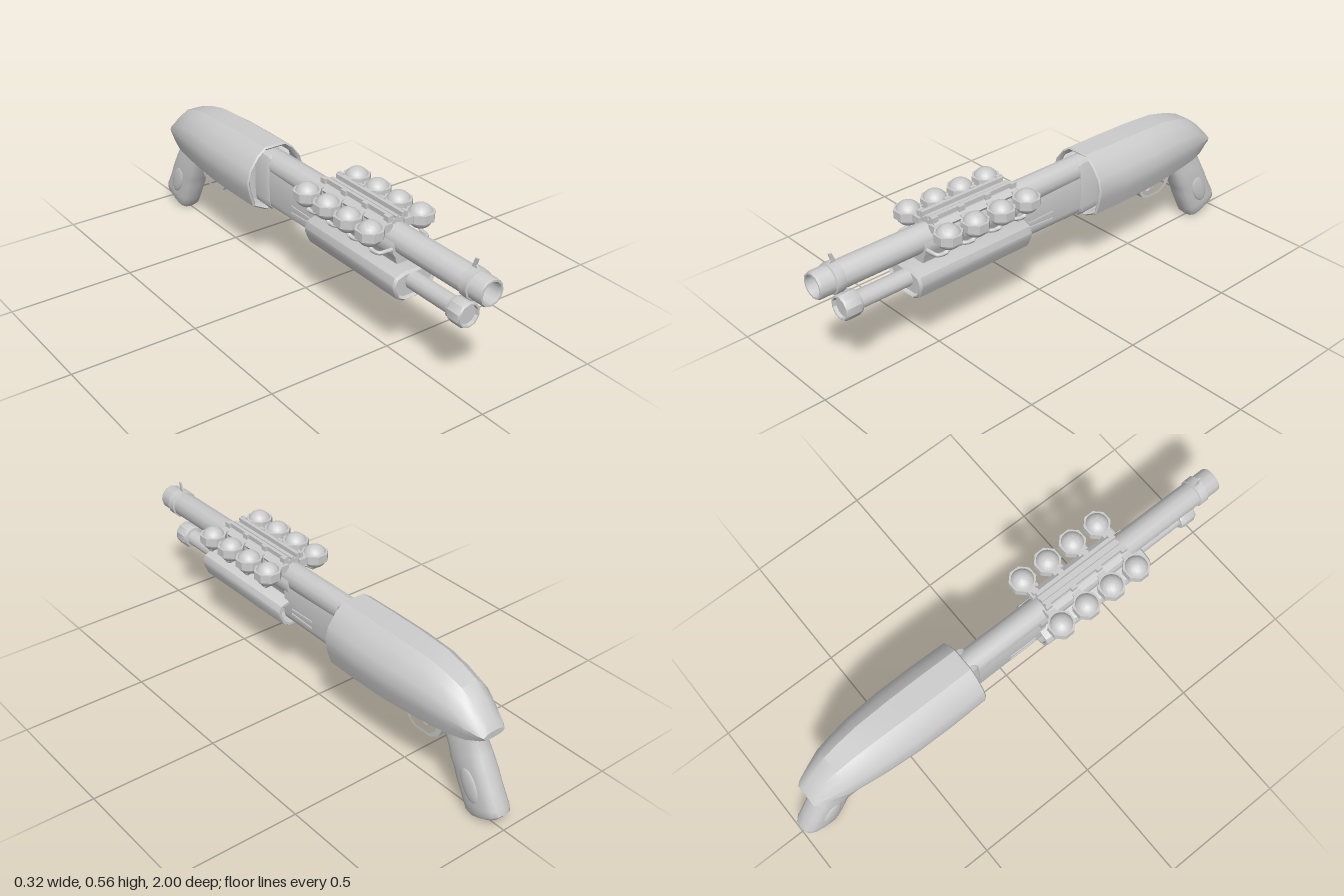
import * as THREE from 'three';
import { toCreasedNormals } from 'three/addons/utils/BufferGeometryUtils.js';

const mat = new THREE.MeshStandardMaterial({ color: 0xcccccc });
const V = (x, y, z) => new THREE.Vector3(x, y, z);

function add(parent, name, geo, crease = 0.6) {
  const mesh = new THREE.Mesh(toCreasedNormals(geo, crease), mat);
  mesh.name = name;
  parent.add(mesh);
  return mesh;
}

// Skin a list of equal-length rings (counter-clockwise seen from the first ring's side), capped at both ends.
function loft(rings) {
  const n = rings[0].length, pos = [], idx = [];
  rings.flat().forEach(p => pos.push(p.x, p.y, p.z));
  for (let i = 0; i < rings.length - 1; i++) {
    for (let j = 0; j < n; j++) {
      const a = i * n + j, b = i * n + (j + 1) % n;
      idx.push(a, a + n, b, b, a + n, b + n);
    }
  }
  [0, rings.length - 1].forEach((r, end) => {
    const c = rings[r].reduce((s, p) => s.add(p), V(0, 0, 0)).divideScalar(n);
    const ci = pos.length / 3;
    pos.push(c.x, c.y, c.z);
    for (let j = 0; j < n; j++) {
      const a = r * n + j, b = r * n + (j + 1) % n;
      if (end) idx.push(ci, b, a); else idx.push(ci, a, b);
    }
  });
  const g = new THREE.BufferGeometry();
  g.setAttribute('position', new THREE.Float32BufferAttribute(pos, 3));
  g.setIndex(idx);
  return g;
}

// Mirrored cross-section: half is [x 0..1, y 0..1] from bottom to top; scaled to width, bottom and top at z.
function section(half, z, w, bot, top) {
  const full = [...half, ...half.slice().reverse().map(([x, y]) => [-x, y])];
  return full.map(([x, y]) => V(x * w, bot + y * (top - bot), z));
}

// Turned part along z from [radius, z] points.
function turned(profile, y, sides = 12) {
  const g = new THREE.LatheGeometry(profile.map(([r, z]) => new THREE.Vector2(r, z)), sides);
  return g.rotateX(Math.PI / 2).translate(0, y, 0);
}

function box(w, h, d, x, y, z) {
  return new THREE.BoxGeometry(w, h, d).translate(x, y, z);
}

// Plate with a [z, y] outline, extruded across x.
function sidePlate(points, width, hole) {
  const toV2 = pts => pts.map(p => new THREE.Vector2(...p));
  const s = new THREE.Shape(toV2(points));
  if (hole) s.holes.push(new THREE.Path(toV2(hole)));
  return new THREE.ExtrudeGeometry(s, { depth: width, bevelEnabled: false })
    .translate(0, 0, -width / 2).rotateY(-Math.PI / 2);
}

function tube(points, r) {
  return new THREE.TubeGeometry(new THREE.CatmullRomCurve3(points), 10, r, 8);
}

export function createModel() {
  const root = new THREE.Group();
  root.name = 'shotgun';

  // Barrel with open bore, muzzle band and front sight
  const barrel = new THREE.Group();
  barrel.name = 'barrel';
  root.add(barrel);
  add(barrel, 'barrelTube', turned([[0, -0.3], [0.051, -0.3], [0.051, 0.99], [0.048, 1], [0.041, 1], [0.039, 0.985],
    [0.039, 0.8], [0.028, 0.77], [0, 0.76]], 0.468));
  add(barrel, 'muzzleBand', turned([[0.05, 0.9], [0.057, 0.903], [0.057, 0.937], [0.05, 0.94]], 0.468));
  add(barrel, 'frontSight', sidePlate([[0.94, 0.515], [0.9, 0.515], [0.907, 0.535], [0.917, 0.56], [0.93, 0.56], [0.922, 0.535]], 0.006));

  // Magazine tube and flared end cap
  add(root, 'magazineTube', turned([[0, -0.1], [0.034, -0.1], [0.034, 0.85]], 0.338));
  add(root, 'magazineCap', turned([[0.03, 0.835], [0.045, 0.838], [0.049, 0.85], [0.049, 0.9], [0.045, 0.908],
    [0.039, 0.908], [0.037, 0.895], [0, 0.895]], 0.338, 10));

  // Sliding fore-end, hollow at the back
  const pumpHalf = [[0.5, 0], [0.78, 0.13], [0.97, 0.5], [1, 0.68], [0.9, 0.9], [0.5, 1]];
  add(root, 'foreEnd', loft([
    [0.625, 0.082, 0.288, 0.372], [0.638, 0.087, 0.282, 0.378], [0.63, 0.095, 0.275, 0.387],
    [0.13, 0.095, 0.275, 0.387], [0.122, 0.092, 0.278, 0.384], [0.122, 0.082, 0.287, 0.375], [0.2, 0.08, 0.289, 0.373],
  ].map(s => section(pumpHalf, ...s))));

  // Receiver with side slots
  const receiverHalf = [[0.6, 0], [0.9, 0.08], [1, 0.2], [1, 0.8], [0.85, 1]];
  add(root, 'receiver', loft([[0.15, 0.048, 0.293, 0.45], [-0.18, 0.05, 0.29, 0.47], [-0.28, 0.052, 0.29, 0.48]]
    .map(s => section(receiverHalf, ...s))));
  add(root, 'receiverBand', loft([[-0.165, 0.052, 0.287, 0.5], [-0.18, 0.058, 0.283, 0.51], [-0.28, 0.058, 0.283, 0.51]]
    .map(s => section(receiverHalf, ...s))));
  for (const side of [1, -1]) {
    for (const [y, tilt] of [[0.362, 0.03], [0.338, -0.04]]) {
      const slot = add(root, 'receiverRib', box(0.006, 0.007, 0.12, 0, 0, 0));
      slot.position.set(side * 0.05, y, 0.04);
      slot.rotation.x = tilt;
    }
  }

  // Faceted shell, with a recessed front and a tapering tail
  const shellHalf = [[0.38, 0], [0.8, 0.11], [0.94, 0.34], [1, 0.52], [0.9, 0.71], [0.62, 0.9], [0.35, 1]];
  add(root, 'stockShell', loft([
    [-0.25, 0.112, 0.296, 0.515], [-0.205, 0.116, 0.291, 0.522], [-0.195, 0.124, 0.281, 0.531], [-0.2, 0.13, 0.276, 0.537],
    [-0.35, 0.134, 0.277, 0.536], [-0.5, 0.133, 0.281, 0.534], [-0.64, 0.123, 0.289, 0.528], [-0.72, 0.112, 0.294, 0.511],
    [-0.79, 0.1, 0.3, 0.488], [-0.85, 0.08, 0.312, 0.443], [-0.9, 0.06, 0.336, 0.396], [-0.917, 0.048, 0.348, 0.374],
  ].map(s => section(shellHalf, ...s))), 0.5);

  // Pistol grip: each ring runs from a front [z, y] to a back [z, y] point
  const soft = v => Math.sign(v) * Math.abs(v) ** 0.65;
  const gripRings = [
    [-0.69, 0.31, -0.87, 0.34, 0.04], [-0.71, 0.275, -0.875, 0.3, 0.045], [-0.74, 0.23, -0.895, 0.262, 0.05],
    [-0.752, 0.195, -0.915, 0.225, 0.053], [-0.772, 0.165, -0.935, 0.19, 0.053], [-0.785, 0.13, -0.955, 0.15, 0.053],
    [-0.825, 0.05, -0.992, 0.088, 0.052], [-0.842, 0.018, -0.998, 0.068, 0.051], [-0.86, 0.002, -0.985, 0.05, 0.042],
  ].map(([fz, fy, bz, by, w]) => Array.from({ length: 16 }, (_, i) => {
    const a = i / 16 * Math.PI * 2, s = soft(Math.sin(a));
    return V(w * soft(Math.cos(a)), (fy + by) / 2 + s * (by - fy) / 2, (fz + bz) / 2 + s * (bz - fz) / 2);
  }));
  add(root, 'grip', loft(gripRings), 0.9);
  for (const side of [1, -1]) {
    const panel = add(root, 'gripPanel', new THREE.SphereGeometry(1, 16, 10));
    panel.scale.set(0.01, 0.068, 0.035);
    panel.position.set(side * 0.05, 0.14, -0.873);
    panel.rotation.x = 0.48;
  }

  // Trigger guard and curved trigger
  add(root, 'triggerGuard', sidePlate(
    [[-0.515, 0.29], [-0.527, 0.24], [-0.545, 0.213], [-0.575, 0.199], [-0.65, 0.2], [-0.69, 0.225], [-0.72, 0.29]], 0.054,
    [[-0.535, 0.278], [-0.541, 0.245], [-0.556, 0.222], [-0.58, 0.21], [-0.645, 0.211], [-0.672, 0.233], [-0.685, 0.278]]), 0.5);
  add(root, 'trigger', sidePlate(
    [[-0.605, 0.285], [-0.622, 0.25], [-0.615, 0.232], [-0.592, 0.218], [-0.62, 0.222], [-0.64, 0.245], [-0.642, 0.285]], 0.022), 0.5);

  // Saddle mount clamped around the barrel
  const saddle = new THREE.Group();
  saddle.name = 'saddleMount';
  root.add(saddle);
  const clampHalf = [[0.66, 0], [0.8, 0.25], [1, 0.45], [1, 0.7], [0.7, 1]];
  add(saddle, 'clamp', loft([[0.58, 0.055, 0.39, 0.495], [0.12, 0.055, 0.39, 0.495]].map(s => section(clampHalf, ...s))));
  const plateHalf = [[0.9, 0], [1, 0.4], [0.65, 1]];
  add(saddle, 'topPlate', loft([[0.53, 0.06, 0.505, 0.533], [0.16, 0.06, 0.505, 0.533]].map(s => section(plateHalf, ...s))));
  add(saddle, 'centreRib', box(0.014, 0.02, 0.37, 0, 0.533, 0.345));

  // Four round holders per side, each with a collar, arm and bent wire
  for (const side of [1, -1]) {
    add(saddle, 'sideRail', box(0.014, 0.025, 0.37, side * 0.026, 0.538, 0.345));
    for (let i = 0; i < 4; i++) {
      const z = 0.165 + i * 0.119, x = side * 0.111;
      add(saddle, 'ball', new THREE.SphereGeometry(0.047, 20, 14).translate(x, 0.508, z), 1);
      add(saddle, 'collar', new THREE.CylinderGeometry(0.053, 0.053, 0.032, 8)
        .rotateY(Math.PI / 8).translate(x, 0.511, z));
      add(saddle, 'arm', box(0.05, 0.03, 0.036, side * 0.052, 0.511, z));
      add(saddle, 'railStop', box(0.012, 0.02, 0.025, side * 0.038, 0.542, z));
      add(saddle, 'wire', tube([V(x, 0.47, z), V(x, 0.455, z + 0.004), V(x, 0.449, z + 0.02),
        V(side * 0.105, 0.449, z + 0.045), V(side * 0.08, 0.449, z + 0.05), V(side * 0.045, 0.449, z + 0.05)], 0.008), 1);
    }
  }
  return root;
}
